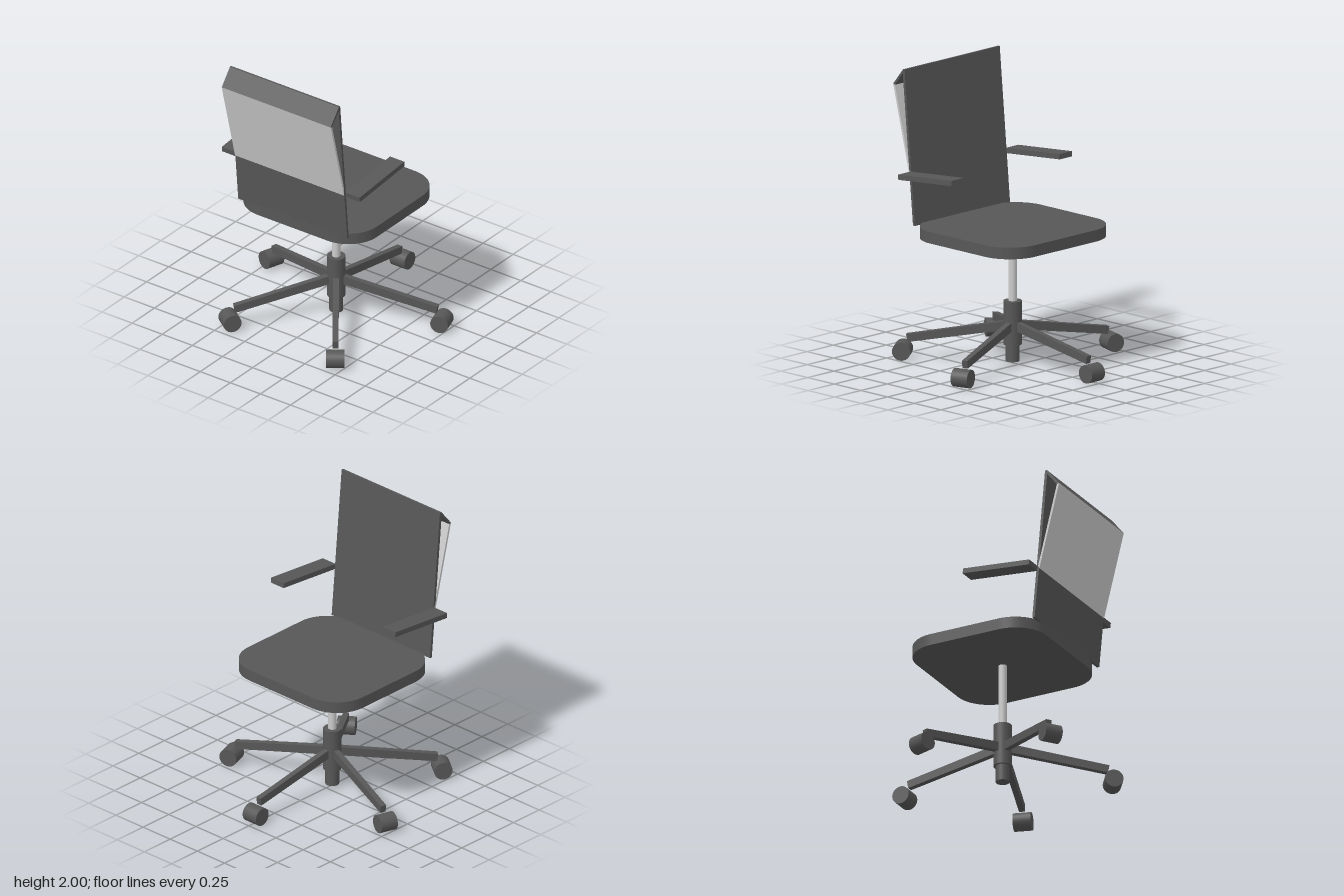
import * as THREE from 'three';

const charcoal = new THREE.MeshStandardMaterial({ color: 0x575757 });
charcoal.name = 'charcoal';
const silver = new THREE.MeshStandardMaterial({ color: 0xcccccc });
silver.name = 'silver';

const AXIS_X = -0.06; // centre of the swivel column

function add(parent, name, geometry, material, x = 0, y = 0, z = 0) {
  const mesh = new THREE.Mesh(geometry, material);
  mesh.name = name;
  mesh.position.set(x, y, z);
  parent.add(mesh);
  return mesh;
}

// Upright cylinder on the column axis
function post(parent, name, radius, y0, y1, material) {
  return add(parent, name, new THREE.CylinderGeometry(radius, radius, y1 - y0, 24), material, AXIS_X, (y0 + y1) / 2, 0);
}

// Side profile in x, y extruded across the chair
function across(points, width) {
  const shape = new THREE.Shape(points.map(([x, y]) => new THREE.Vector2(x, y)));
  return new THREE.ExtrudeGeometry(shape, { depth: width, bevelEnabled: false }).translate(0, 0, -width / 2);
}

function seatGeometry(x0, x1, halfZ, r, height) {
  const s = new THREE.Shape();
  s.moveTo(x0 + r, -halfZ);
  s.absarc(x1 - r, -halfZ + r, r, -Math.PI / 2, 0);
  s.absarc(x1 - r, halfZ - r, r, 0, Math.PI / 2);
  s.absarc(x0 + r, halfZ - r, r, Math.PI / 2, Math.PI);
  s.absarc(x0 + r, -halfZ + r, r, Math.PI, Math.PI * 1.5);
  return new THREE.ExtrudeGeometry(s, { depth: height, bevelEnabled: false, curveSegments: 12 }).rotateX(-Math.PI / 2);
}

export function createModel() {
  const chair = new THREE.Group();
  chair.name = 'officeChair';

  // Seat
  add(chair, 'seat', seatGeometry(-0.55, 0.435, 0.525, 0.235, 0.08), charcoal, 0, 0.87, 0);

  // Backrest: leaning front sheet, folded top and pale rear panel, open at the sides
  const back = new THREE.Group();
  back.name = 'backrest';
  chair.add(back);
  add(back, 'backSheet', across([[-0.549, 0.94], [-0.531, 0.94], [-0.628, 2.0], [-0.646, 1.985]], 0.905), charcoal);
  add(back, 'topFold', across([[-0.735, 1.885], [-0.718, 1.88], [-0.64, 1.977], [-0.628, 2.0], [-0.642, 2.0]], 0.905), charcoal);
  add(back, 'rearPanel', across([[-0.735, 1.885], [-0.585, 1.29], [-0.575, 1.31], [-0.718, 1.88]], 0.905), silver);

  // Armrests
  for (const side of [1, -1]) {
    const arm = add(chair, side > 0 ? 'leftArmrest' : 'rightArmrest',
      new THREE.BoxGeometry(0.504, 0.036, 0.118), charcoal, -0.319, 1.313, side * 0.513);
    arm.rotation.z = 0.09;
  }

  // Column
  post(chair, 'gasLift', 0.028, 0.4, 0.88, silver);
  post(chair, 'columnSleeve', 0.062, 0.13, 0.43, charcoal);
  post(chair, 'columnFoot', 0.047, 0.015, 0.14, charcoal);

  // Five sloping legs, each with a wide caster
  for (let i = 0; i < 5; i++) {
    const spoke = new THREE.Group();
    spoke.name = 'leg' + (i + 1);
    spoke.position.x = AXIS_X;
    spoke.rotation.y = (i * Math.PI * 2) / 5;
    chair.add(spoke);
    add(spoke, 'legBar', across([[0.01, 0.235], [0.708, 0.121], [0.717, 0.174], [0.02, 0.295]], 0.04), charcoal);
    add(spoke, 'caster', new THREE.CylinderGeometry(0.0625, 0.0625, 0.122, 24).rotateX(Math.PI / 2), charcoal, 0.744, 0.0625, 0);
  }
  return chair;
}
